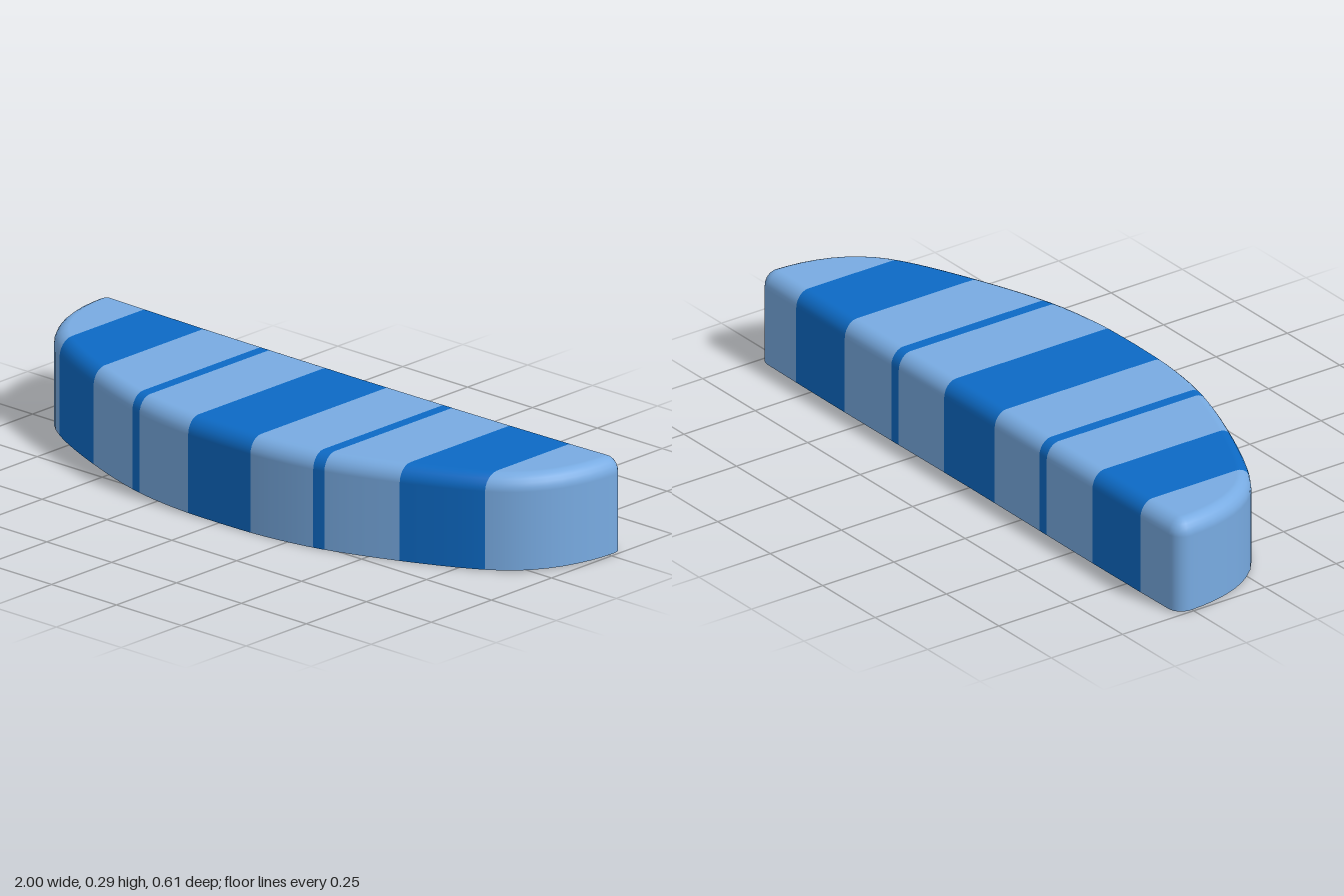
import * as THREE from 'three';

const HEIGHT = 0.285, EDGE_H = 0.05, EDGE_IN = 0.042;

// Plan outline: bowed front, rounded back corners, almost straight back.
function outline() {
  const bow = new THREE.CatmullRomCurve3([
    [0, 0.305], [0.16, 0.3], [0.35, 0.27], [0.6, 0.185], [0.82, 0.082],
    [0.9, 0.02], [0.96, -0.07], [0.993, -0.18], [1, -0.26],
  ].map(([x, z]) => new THREE.Vector3(x, 0, z)));
  const half = bow.getSpacedPoints(28).map(p => new THREE.Vector2(p.x, p.z));
  for (let i = 1; i <= 6; i++) {
    const a = i * Math.PI / 12;
    half.push(new THREE.Vector2(0.955 + 0.045 * Math.cos(a), -0.26 - 0.045 * Math.sin(a)));
  }
  half.push(new THREE.Vector2(0.5, -0.303), new THREE.Vector2(0, -0.3));
  const mirrored = half.slice(1, -1).reverse().map(p => new THREE.Vector2(-p.x, p.y));
  return half.concat(mirrored);
}

// All triangles of the cushion; each corner is [x, y, z, nx, ny, nz].
function cushionTriangles() {
  const pts = outline(), n = pts.length, tris = [];
  const normals = pts.map((p, i) => {
    const a = p.clone().sub(pts[(i + n - 1) % n]).normalize();
    const b = pts[(i + 1) % n].clone().sub(p).normalize();
    const t = a.add(b).normalize();
    return new THREE.Vector2(-t.y, t.x);
  });
  const ring = (y, inset, tilt) => pts.map((p, i) => {
    const m = normals[i], c = Math.cos(tilt);
    return [p.x - m.x * inset, y, p.y - m.y * inset, m.x * c, Math.sin(tilt), m.y * c];
  });

  // Upright wall, then the rounded top edge
  const rings = [ring(0, 0, 0)];
  for (let k = 0; k <= 6; k++) {
    const a = k * Math.PI / 12;
    rings.push(ring(HEIGHT - EDGE_H * (1 - Math.sin(a)), EDGE_IN * (1 - Math.cos(a)), a));
  }
  for (let k = 0; k + 1 < rings.length; k++) {
    for (let i = 0; i < n; i++) {
      const j = (i + 1) % n, lo = rings[k], hi = rings[k + 1];
      tris.push([lo[i], lo[j], hi[j]], [lo[i], hi[j], hi[i]]);
    }
  }

  // Flat top and underside
  const cap = (loop, up) => {
    const flat = loop.map(v => new THREE.Vector2(v[0], v[2]));
    for (const f of THREE.ShapeUtils.triangulateShape(flat, [])) {
      const t = f.map(i => [...loop[i].slice(0, 3), 0, up, 0]);
      const [a, b, c] = t;
      const ny = (b[2] - a[2]) * (c[0] - a[0]) - (b[0] - a[0]) * (c[2] - a[2]);
      tris.push(ny * up > 0 ? t : [a, c, b]);
    }
  };
  cap(rings[rings.length - 1], 1);
  cap(rings[0], -1);
  return tris;
}

// Keep the part of a polygon where side * (x - limit) >= 0.
function clip(poly, limit, side) {
  const out = [];
  poly.forEach((a, i) => {
    const b = poly[(i + 1) % poly.length];
    const da = side * (a[0] - limit), db = side * (b[0] - limit);
    if (da >= 0) out.push(a);
    if ((da > 0 && db < 0) || (da < 0 && db > 0)) {
      const t = da / (da - db);
      out.push(a.map((v, k) => v + (b[k] - v) * t));
    }
  });
  return out;
}

// Slice of the cushion between two x positions, ends lifted very slightly.
function bandGeometry(tris, x0, x1) {
  const pos = [], nor = [];
  for (const tri of tris) {
    const poly = clip(clip(tri, x0, 1), x1, -1);
    for (let i = 1; i + 1 < poly.length; i++) {
      for (const v of [poly[0], poly[i], poly[i + 1]]) {
        pos.push(v[0], v[1] + 0.005 * v[0] ** 4, v[2]);
        nor.push(v[3], v[4], v[5]);
      }
    }
  }
  const g = new THREE.BufferGeometry();
  g.setAttribute('position', new THREE.Float32BufferAttribute(pos, 3));
  g.setAttribute('normal', new THREE.Float32BufferAttribute(nor, 3));
  g.normalizeNormals();
  return g;
}

export function createModel() {
  const light = new THREE.MeshStandardMaterial({ color: 0x78abe2 });
  light.name = 'lightBlueFabric';
  const dark = new THREE.MeshStandardMaterial({ color: 0x0d6ac5 });
  dark.name = 'darkBlueFabric';

  const cushion = new THREE.Group();
  cushion.name = 'cushion';
  const tris = cushionTriangles();

  // Alternating fabric bands, starting and ending with light
  const edges = [0.12, 0.335, 0.37, 0.59, 0.82, 1.1];
  const cuts = [...edges.map(x => -x).reverse(), ...edges];
  for (let i = 0; i + 1 < cuts.length; i++) {
    const isDark = i % 2 === 1;
    const mesh = new THREE.Mesh(bandGeometry(tris, cuts[i], cuts[i + 1]), isDark ? dark : light);
    mesh.name = (isDark ? 'darkStripe' : 'lightPanel') + (Math.floor(i / 2) + 1);
    cushion.add(mesh);
  }
  return cushion;
}
